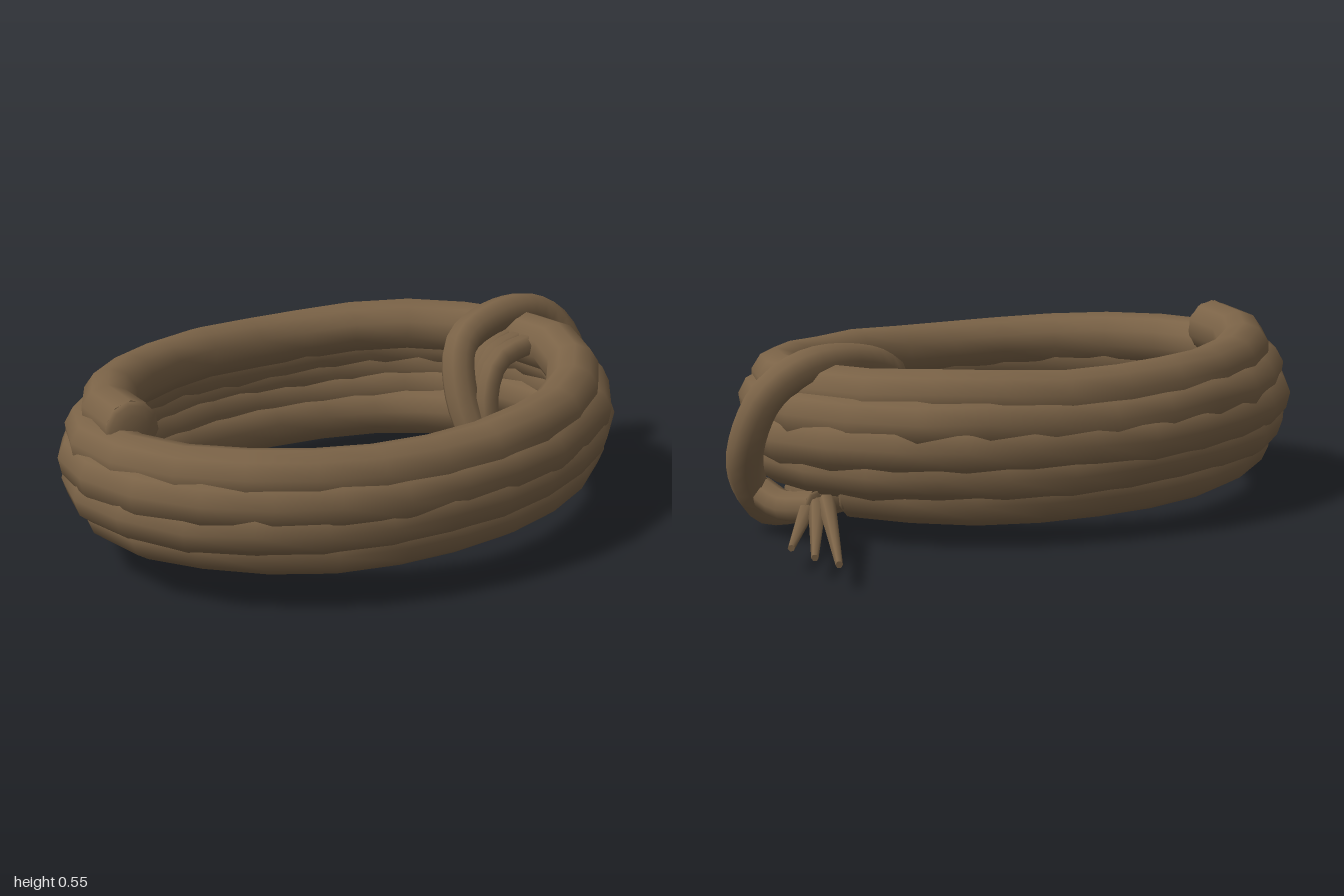
import * as THREE from 'three';

const rope = new THREE.MeshStandardMaterial({ color: 0x7b6347 });
rope.name = 'rope brown';

const V = (x, y, z) => new THREE.Vector3(x, y, z);

// Small seeded noise for the uneven lay of the rope
let seed = 7;
const jitter = (s) => {
  seed = (seed * 16807) % 2147483647;
  return (seed / 2147483647 - 0.5) * 2 * s;
};

// A smooth round strand along a path, with rounded ends
function strand(name, points, radius, segments, sides, closed = false) {
  const group = new THREE.Group();
  group.name = name;
  const curve = new THREE.CatmullRomCurve3(points, closed);
  curve.arcLengthDivisions = 1200;
  group.add(new THREE.Mesh(new THREE.TubeGeometry(curve, segments, radius, sides, closed), rope));
  if (!closed) {
    for (const t of [0, 1]) {
      const cap = new THREE.Mesh(new THREE.SphereGeometry(radius, sides, 6), rope);
      cap.position.copy(curve.getPointAt(t));
      cap.quaternion.setFromUnitVectors(V(0, 1, 0), curve.getTangentAt(t));
      cap.scale.y = 0.3;
      group.add(cap);
    }
  }
  group.children.forEach((m) => { m.name = name + 'Part'; });
  return group;
}

export function createModel() {
  const model = new THREE.Group();
  model.name = 'ropeCoil';

  // Main coil: an oval helix, bulging at mid height and sagging at front and back
  const turns = 4.45, steps = Math.round(turns * 24), coil = [];
  for (let i = 0; i <= steps; i++) {
    const f = i / steps;
    const a = f * turns * Math.PI * 2;
    const bulge = Math.sin(Math.PI * f);
    const rx = 0.745 + 0.085 * bulge;
    const rz = 0.55 + 0.045 * bulge;
    const end = Math.cos(a) ** 2;
    coil.push(V(
      -0.075 - rx * Math.cos(a) + jitter(0.006),
      0.43 - 0.3 * f + 0.025 * end + jitter(0.006),
      -rz * Math.sin(a) + jitter(0.006)
    ));
  }
  model.add(strand('coil', coil, 0.082, steps, 10));

  // Binding loop around the right end of the coil
  model.add(strand('bindingLoop', [
    V(0.41, 0.16, 0.07), V(0.385, 0.3, 0.01), V(0.43, 0.44, -0.05),
    V(0.56, 0.49, -0.08), V(0.74, 0.49, -0.09), V(0.85, 0.42, -0.07),
    V(0.89, 0.28, -0.02), V(0.86, 0.17, 0.03), V(0.77, 0.07, 0.07),
    V(0.6, 0.058, 0.085), V(0.48, 0.08, 0.085)
  ], 0.053, 40, 8, true));

  // Inner wraps nested beside the loop
  for (let i = 0; i < 4; i++) {
    const z = 0.085 - i * 0.045, x = 0.44 + i * 0.022;
    model.add(strand('innerWrap' + (i + 1), [
      V(0.68, 0.1, z), V(x + 0.08, 0.1, z), V(x, 0.2, z),
      V(x, 0.31, z - 0.02), V(x + 0.06, 0.4, z - 0.04), V(0.66, 0.43, z - 0.05)
    ], 0.036, 14, 7));
  }

  // Loose tail of the binding and its frayed ends
  model.add(strand('tail', [
    V(0.82, 0.13, 0.03), V(0.8, 0.1, -0.06), V(0.76, 0.11, -0.17)
  ], 0.045, 6, 8));
  const tips = [[-0.65, 0.07], [-0.53, 0.065], [-0.41, 0.068]];
  tips.forEach(([z, y], i) => {
    const from = V(0.74 + i * 0.015, 0.125 - i * 0.01, -0.2 + i * 0.025);
    const dir = V(0.985, y, z).sub(from);
    const fray = new THREE.Mesh(new THREE.CylinderGeometry(0.01, 0.026, dir.length(), 6), rope);
    fray.name = 'frayedEnd' + (i + 1);
    fray.position.copy(from).addScaledVector(dir, 0.5);
    fray.quaternion.setFromUnitVectors(V(0, 1, 0), dir.clone().normalize());
    model.add(fray);
  });

  return model;
}
